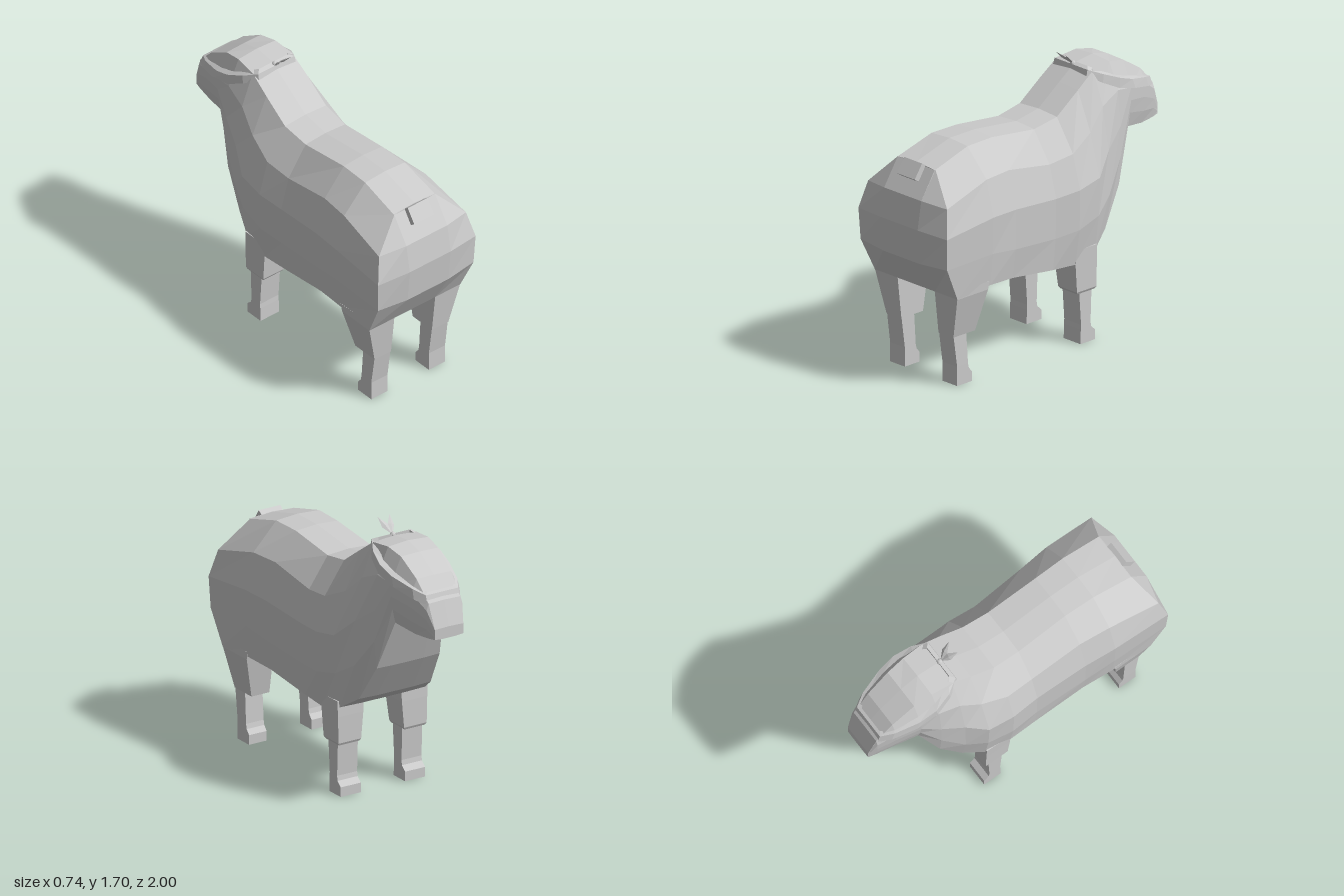
import * as THREE from 'three';

const material = new THREE.MeshStandardMaterial({ color: 0xcccccc, flatShading: true });

function add(parent, name, geometry) {
  const mesh = new THREE.Mesh(geometry, material);
  mesh.name = name;
  parent.add(mesh);
  return mesh;
}

// Skins rings of [x, y, z] points; each ring runs counter-clockwise seen from the start.
function loft(rings, capped = true) {
  const pos = [];
  const quad = (a, b, c, d) => pos.push(...a, ...b, ...c, ...a, ...c, ...d);
  const n = rings[0].length;
  for (let k = 0; k < rings.length - 1; k++) {
    for (let i = 0; i < n; i++) {
      const j = (i + 1) % n;
      quad(rings[k][i], rings[k + 1][i], rings[k + 1][j], rings[k][j]);
    }
  }
  // Ends are closed with strips joining mirrored points
  if (capped) {
    const s = rings[0], e = rings[rings.length - 1];
    for (let i = 0; i < Math.floor(n / 2); i++) {
      const j = n - 1 - i;
      if (j - i < 2) continue;
      quad(s[i], s[i + 1], s[j - 1], s[j]);
      quad(e[j], e[j - 1], e[i + 1], e[i]);
    }
  }
  const g = new THREE.BufferGeometry();
  g.setAttribute('position', new THREE.Float32BufferAttribute(pos, 3));
  g.computeVertexNormals();
  return g;
}

// Full symmetric ring from half points running bottom to top, with a slight ridge
function mirrorRing(half, ridge) {
  const t = half[half.length - 1];
  return [...half, [0, t[1] + ridge, t[2]], ...half.map(([x, y, z]) => [-x, y, z]).reverse()];
}

function bodyGeometry() {
  // Rump: a narrow middle strip and the wider corner ring around it
  const rump = [[0.155, 0.57, 0.855], [0.155, 0.572, 0.86], [0.155, 0.775, 0.98],
    [0.155, 0.99, 1.0], [0.155, 1.165, 0.97], [0.155, 1.33, 0.86]];
  const corner = [[0.155, 0.57, 0.85], [0.345, 0.572, 0.86], [0.362, 0.785, 0.96],
    [0.37, 0.98, 0.97], [0.33, 1.15, 0.93], [0.156, 1.33, 0.855]];
  // z, then x,y of the bottom edge, lower side, widest line, shoulder and back
  const stations = [
    [0.59, 0.34, 0.59, 0.36, 0.79, 0.37, 1.02, 0.31, 1.24, 0.15, 1.405],
    [0.39, 0.32, 0.575, 0.345, 0.76, 0.35, 1.01, 0.29, 1.24, 0.145, 1.405],
    [0.05, 0.31, 0.53, 0.33, 0.73, 0.335, 0.98, 0.28, 1.18, 0.15, 1.365],
    [-0.13, 0.31, 0.515, 0.345, 0.74, 0.35, 0.99, 0.29, 1.2, 0.155, 1.395],
    [-0.3, 0.3, 0.56, 0.33, 0.78, 0.34, 1.02, 0.26, 1.28, 0.155, 1.515],
    [-0.43, 0.25, 0.645, 0.285, 0.86, 0.28, 1.14, 0.23, 1.4, 0.15, 1.605],
    [-0.57, 0.22, 0.875, 0.235, 1.05, 0.235, 1.24, 0.215, 1.46, 0.14, 1.62],
    [-0.69, 0.17, 1.19, 0.19, 1.28, 0.2, 1.36, 0.2, 1.44, 0.13, 1.595],
    [-0.84, 0.13, 1.16, 0.15, 1.24, 0.16, 1.33, 0.16, 1.42, 0.12, 1.5],
    [-0.95, 0.11, 1.162, 0.12, 1.22, 0.125, 1.28, 0.125, 1.34, 0.11, 1.38],
    [-1, 0.1, 1.167, 0.1, 1.18, 0.1, 1.195, 0.1, 1.21, 0.1, 1.23],
  ];
  const rings = [mirrorRing(rump, 0.01), mirrorRing(corner, 0.01)];
  for (const [z, ...p] of stations) {
    const half = [[p[0] * 0.5, p[1] - (z > -0.2 ? 0.012 : 0.004), z]];
    for (let i = 0; i < p.length; i += 2) half.push([p[i], p[i + 1], z]);
    rings.push(mirrorRing(half, z > -0.6 ? 0.01 : 0.003));
  }
  return loft(rings);
}

// Leg piece from levels of [y, inner x, outer x, back z, front z]
function legPiece(levels, side) {
  return loft(levels.map(([y, a, b, back, front]) => {
    const x0 = side > 0 ? a : -b, x1 = side > 0 ? b : -a;
    return [[x0, y, back], [x1, y, back], [x1, y, front], [x0, y, front]];
  }));
}

// Raised rim running around the face
function rimGeometry() {
  // x, z, lower y, upper y
  const path = [[0.14, -0.385, 1.575, 1.612], [0.19, -0.47, 1.525, 1.575], [0.216, -0.58, 1.47, 1.53],
    [0.205, -0.72, 1.43, 1.49], [0.16, -0.87, 1.39, 1.45], [0.115, -0.945, 1.37, 1.425]];
  const full = [...path, ...path.map(([x, ...r]) => [-x, ...r]).reverse()];
  const rings = full.map(([x, z, lo, hi]) => {
    const xi = x * 0.78, zi = -0.66 + (z + 0.66) * 0.87;
    return [[x, lo, z], [x * 0.98, hi, z + (z < -0.66 ? 0.02 : -0.01)], [xi, hi + 0.01, zi], [xi, lo, zi]];
  });
  return loft([...rings, rings[0]], false);
}

export function createModel() {
  const group = new THREE.Group();
  group.name = 'sheep';
  add(group, 'bodyAndHead', bodyGeometry());
  add(group, 'faceRim', rimGeometry());

  // Legs
  for (const side of [1, -1]) {
    const label = side > 0 ? 'left' : 'right';
    add(group, label + 'HindThigh', legPiece([
      [0.62, 0.155, 0.345, 0.87, 0.6], [0.57, 0.155, 0.343, 0.86, 0.61],
      [0.31, 0.155, 0.28, 0.83, 0.655]], side));
    add(group, label + 'HindShin', legPiece([
      [0.32, 0.157, 0.278, 0.828, 0.725], [0.12, 0.157, 0.28, 0.8, 0.712],
      [0.09, 0.157, 0.28, 0.8, 0.705], [0.06, 0.157, 0.28, 0.8, 0.68],
      [0, 0.157, 0.28, 0.8, 0.68]], side));
    add(group, label + 'FrontUpperLeg', legPiece([
      [0.6, 0.13, 0.315, -0.13, -0.3], [0.5, 0.135, 0.312, -0.13, -0.302],
      [0.335, 0.15, 0.308, -0.145, -0.302], [0.32, 0.157, 0.3, -0.155, -0.295]], side));
    add(group, label + 'FrontShin', legPiece([
      [0.33, 0.155, 0.295, -0.175, -0.275], [0.12, 0.155, 0.295, -0.19, -0.267],
      [0.09, 0.155, 0.295, -0.188, -0.272], [0.06, 0.155, 0.295, -0.187, -0.305],
      [0, 0.155, 0.295, -0.185, -0.305]], side));
  }

  // Tail
  const tail = add(group, 'tail', new THREE.BoxGeometry(0.15, 0.104, 0.038));
  tail.position.set(0, 1.302, 0.9);
  tail.rotation.x = -0.61;

  // Tuft of two pointed leaves on a small knob
  const knob = add(group, 'tuftKnob', new THREE.IcosahedronGeometry(0.018, 1));
  knob.position.set(0, 1.612, -0.41);
  const base = new THREE.Vector3(0, 1.612, -0.405);
  for (const side of [1, -1]) {
    const tip = new THREE.Vector3(side * 0.042, 1.7, -0.31);
    const dir = tip.clone().sub(base);
    const leaf = add(group, 'tuftLeaf', new THREE.OctahedronGeometry(1));
    leaf.scale.set(0.022, dir.length() / 2, 0.007);
    leaf.position.copy(base).add(tip).multiplyScalar(0.5);
    leaf.quaternion.setFromUnitVectors(new THREE.Vector3(0, 1, 0), dir.normalize());
  }
  return group;
}
